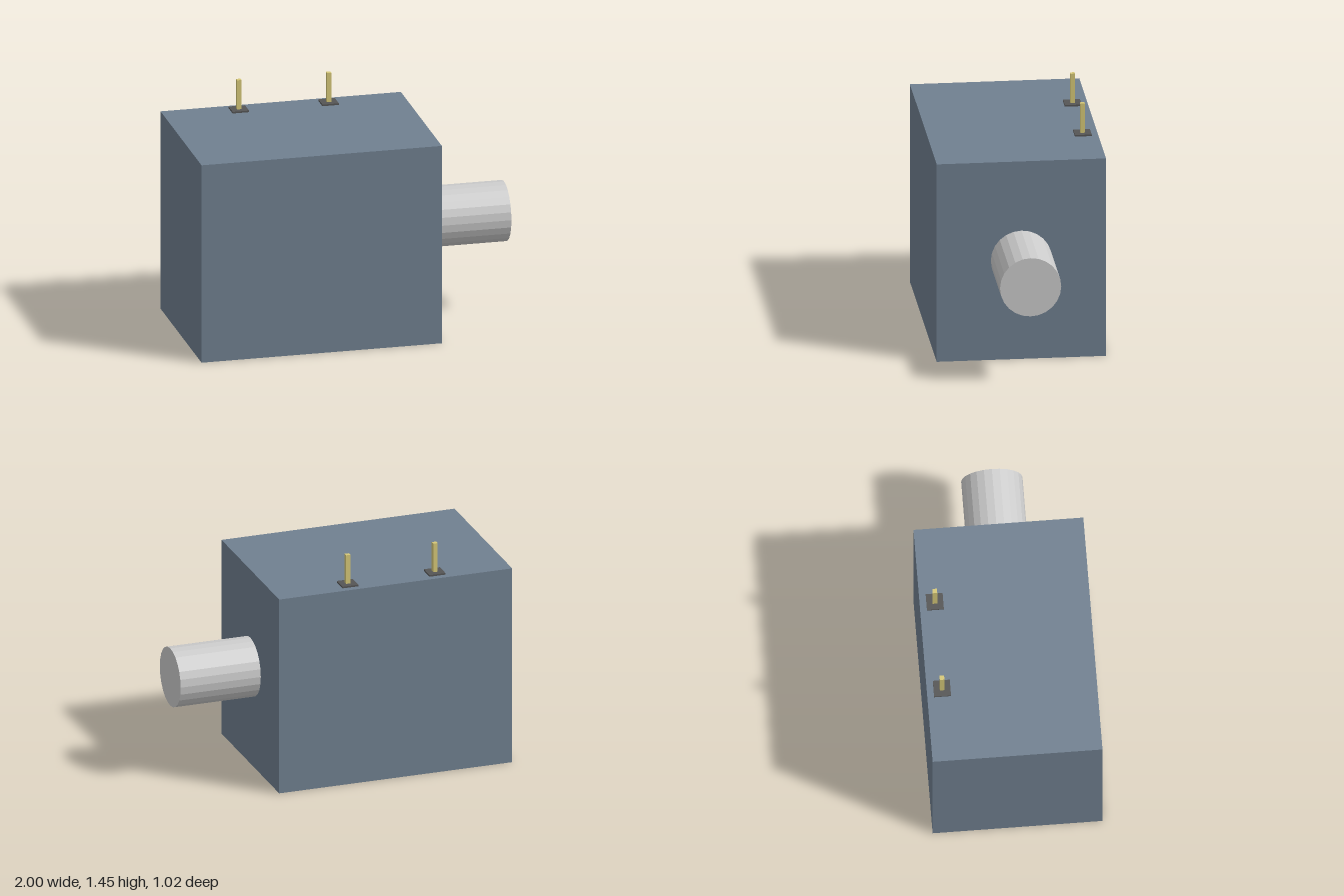
import * as THREE from 'three';

const BODY = { x0: -1, x1: 0.488, height: 1.255, depth: 1.024 };

function material(color) {
  return new THREE.MeshStandardMaterial({ color, flatShading: true });
}

function addMesh(parent, name, geometry, mat, x, y, z) {
  const mesh = new THREE.Mesh(geometry, mat);
  mesh.name = name;
  mesh.position.set(x, y, z);
  parent.add(mesh);
  return mesh;
}

export function createModel() {
  const model = new THREE.Group();
  model.name = 'motor';

  // Rectangular housing standing on the ground
  const width = BODY.x1 - BODY.x0;
  addMesh(model, 'housing', new THREE.BoxGeometry(width, BODY.height, BODY.depth),
    material(0x708090), (BODY.x0 + BODY.x1) / 2, BODY.height / 2, 0);

  // Faceted output shaft on the +x side
  const length = 1 - BODY.x1;
  const shaft = new THREE.CylinderGeometry(0.185, 0.185, length, 24).rotateZ(-Math.PI / 2);
  addMesh(model, 'shaft', shaft, material(0xcccccc), BODY.x1 + length / 2, 0.63, 0);

  // Two terminals near the back edge: dark base plate and brass pin
  const plateMaterial = material(0x555555);
  const pinMaterial = material(0xd6c878);
  const plateHeight = 0.01;
  const pinHeight = 1.45 - BODY.height;
  [['rightTerminal', -0.538], ['leftTerminal', 0.018]].forEach(([name, x]) => {
    const terminal = new THREE.Group();
    terminal.name = name;
    terminal.position.set(x, BODY.height, -0.42);
    addMesh(terminal, 'terminalPlate', new THREE.BoxGeometry(0.102, plateHeight, 0.102),
      plateMaterial, 0, plateHeight / 2, 0);
    addMesh(terminal, 'terminalPin', new THREE.BoxGeometry(0.028, pinHeight, 0.028),
      pinMaterial, 0, pinHeight / 2, 0);
    model.add(terminal);
  });

  return model;
}
